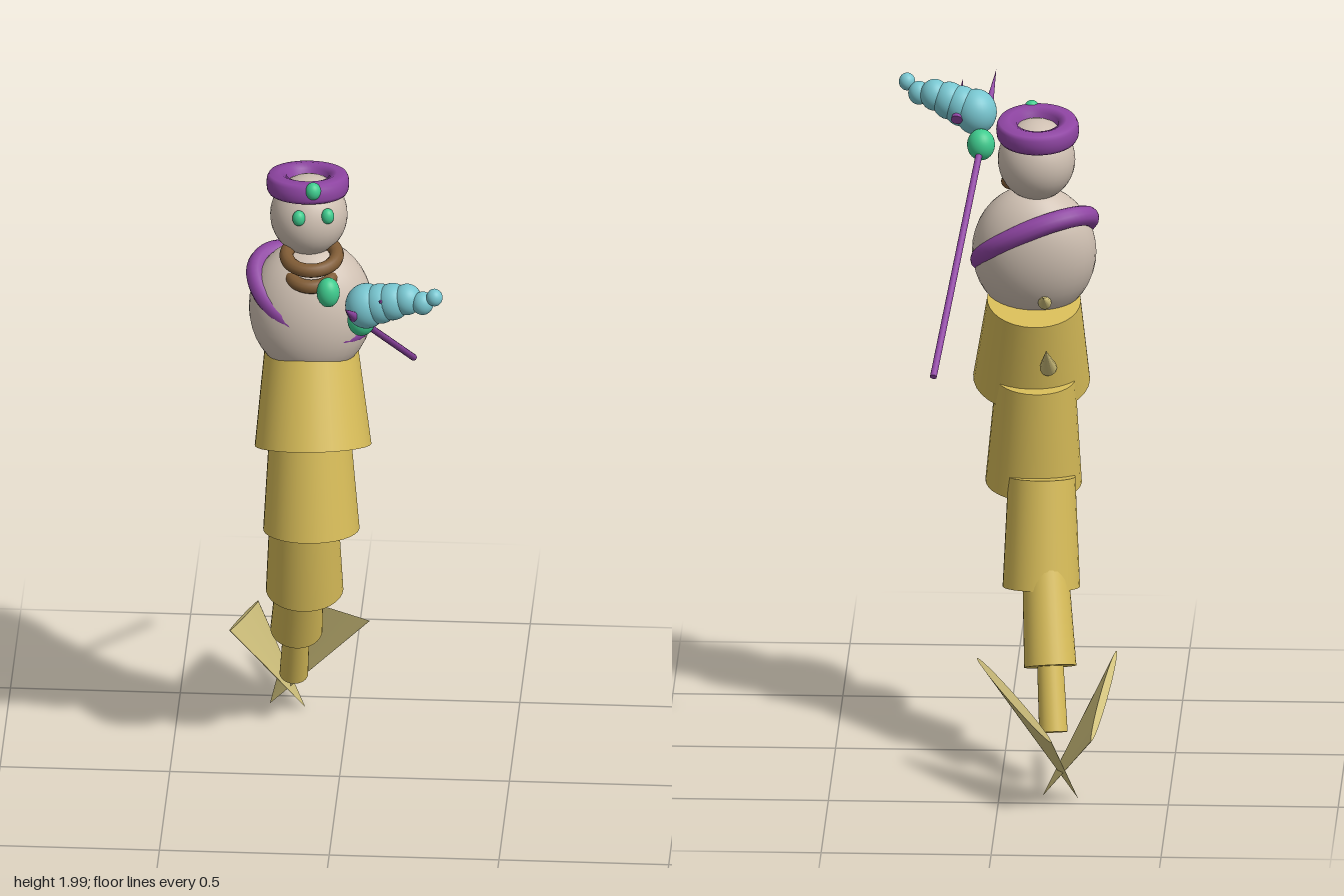
import * as THREE from 'three';

const V = (p) => new THREE.Vector3(...p);

export function createModel() {
  const model = new THREE.Group();
  const colour = (name, hex) => {
    const m = new THREE.MeshStandardMaterial({ color: hex });
    m.name = name;
    return m;
  };
  const skin = colour('skin', 0xcfc0b2);
  const purple = colour('purple', 0x8f45a3);
  const gold = colour('gold', 0xd6bb58);
  const paleGold = colour('paleGold', 0xcfc07c);
  const brown = colour('brown', 0x7f5b35);
  const green = colour('green', 0x3fcb8e);
  const cyan = colour('cyan', 0x78c6d0);

  const add = (name, geometry, material, pos = [0, 0, 0], rot = [0, 0, 0]) => {
    const mesh = new THREE.Mesh(geometry, material);
    mesh.name = name;
    mesh.position.set(...pos);
    mesh.rotation.set(...rot);
    model.add(mesh);
    return mesh;
  };
  const ball = (name, material, pos, rx, ry = rx, rz = rx, rot) => {
    const mesh = add(name, new THREE.SphereGeometry(1, 32, 20), material, pos, rot);
    mesh.scale.set(rx, ry, rz);
    return mesh;
  };
  // Tapered cylinder from bottom point a to top point b
  const taper = (name, material, a, b, ra, rb, sides = 32) => {
    const d = V(b).sub(V(a));
    const mesh = add(name, new THREE.CylinderGeometry(rb, ra, d.length(), sides), material);
    mesh.position.copy(V(a).add(V(b)).multiplyScalar(0.5));
    mesh.quaternion.setFromUnitVectors(new THREE.Vector3(0, 1, 0), d.normalize());
    return mesh;
  };

  // Head, eyes and headband
  ball('head', skin, [-0.093, 1.852, -0.04], 0.114, 0.122, 0.114);
  ball('rightEye', green, [-0.116, 1.893, 0.068], 0.019, 0.024, 0.019);
  ball('leftEye', green, [-0.032, 1.893, 0.05], 0.019, 0.024, 0.019);
  const band = [[0.055, -0.028], [0.114, -0.029], [0.12, -0.018], [0.122, 0],
    [0.12, 0.018], [0.114, 0.029], [0.085, 0.033], [0.062, 0.024], [0.055, -0.028]]
    .map((p) => new THREE.Vector2(...p));
  add('headband', new THREE.LatheGeometry(band, 48), purple, [-0.097, 1.948, -0.055], [-0.15, 0, 0]);
  ball('headbandGem', green, [-0.075, 1.976, 0.053], 0.023, 0.027, 0.023);

  // Torso and sash
  ball('torso', skin, [-0.085, 1.56, -0.012], 0.183, 0.208, 0.135, [-0.16, 0, 0]);
  const ring = [];
  for (let i = 0; i < 24; i++) {
    const t = (i / 24) * Math.PI * 2;
    const x = 0.16 * Math.cos(t), z = 0.115 * Math.sin(t);
    ring.push(new THREE.Vector3(-0.087 + x, 1.6 - 0.42 * x - 0.57 * z, -0.022 + z));
  }
  add('sash', new THREE.TubeGeometry(new THREE.CatmullRomCurve3(ring, true), 64, 0.03, 12, true), purple);

  // Necklace rings and pendant
  [[1.757, 0.038, 0.074], [1.692, 0.032, 0.062], [1.63, 0.043, 0.046]].forEach(([y, z, r]) =>
    add('necklaceRing', new THREE.TorusGeometry(r, 0.021, 12, 40), brown,
      [-0.08, y, z], [Math.PI / 2 + 0.2, 0, 0]));
  ball('pendant', green, [-0.027, 1.67, 0.106], 0.034, 0.046, 0.034);

  // Overlapping tail segments: bottom centre, top centre, bottom radius, top radius
  [
    [[-0.074, 1.143, 0.066], [-0.085, 1.415, -0.03], 0.172, 0.138],
    [[-0.082, 0.84, 0.018], [-0.09, 1.176, -0.034], 0.142, 0.117],
    [[-0.111, 0.561, -0.132], [-0.11, 0.884, -0.078], 0.114, 0.099],
    [[-0.143, 0.357, -0.265], [-0.122, 0.66, -0.148], 0.077, 0.067],
    [[-0.155, 0.175, -0.33], [-0.14, 0.41, -0.245], 0.042, 0.038],
  ].forEach(([a, b, ra, rb]) => taper('tailSegment', gold, a, b, ra, rb));

  // Spines on the back
  taper('backSpine', paleGold, [-0.13, 1.23, -0.11], [-0.13, 1.327, -0.25], 0.026, 0, 12);
  taper('backSpine', paleGold, [-0.12, 1.43, -0.11], [-0.12, 1.47, -0.19], 0.02, 0, 12);

  // Crossed tail fins: cones flattened between a tip and the two ends of the wide edge
  const fin = (name, tip, e1, e2) => {
    const half = V(e2).sub(V(e1)).multiplyScalar(0.5);
    const mid = V(e1).add(V(e2)).multiplyScalar(0.5);
    const up = V(tip).sub(mid);
    const thick = half.clone().cross(up).normalize().multiplyScalar(0.012);
    const geometry = new THREE.ConeGeometry(1, 1, 32);
    geometry.translate(0, 0.5, 0);
    geometry.applyMatrix4(new THREE.Matrix4().makeBasis(half, up, thick).setPosition(mid));
    add(name, geometry, paleGold);
  };
  fin('rightFin', [-0.127, 0.01, -0.43], [-0.28, 0.25, -0.64], [-0.335, 0.384, -0.19]);
  fin('leftFin', [-0.233, 0.01, -0.45], [-0.163, 0.25, -0.66], [0.072, 0.384, -0.276]);

  // Staff with its point, side spike and grip ball
  taper('staff', purple, [0.2, 1.255, -0.29], [0.075, 1.81, 0.52], 0.01, 0.01, 16);
  taper('staffPoint', purple, [0.078, 1.795, 0.5], [0.055, 1.902, 0.653], 0.017, 0, 16);
  taper('staffSpike', purple, [0.162, 1.815, 0.435], [0.15, 1.895, 0.585], 0.017, 0, 16);
  ball('staffBall', green, [0.09, 1.745, 0.42], 0.041, 0.047, 0.041);

  // Spiral shell of shrinking balls
  [
    [0.108, 1.826, 0.482, 0.062], [0.15, 1.84, 0.492, 0.055], [0.187, 1.853, 0.502, 0.051],
    [0.23, 1.867, 0.512, 0.043], [0.277, 1.866, 0.532, 0.032], [0.313, 1.895, 0.549, 0.024],
  ].forEach(([x, y, z, r]) => ball('shellBall', cyan, [x, y, z], r, r * 1.1, r));

  return model;
}
